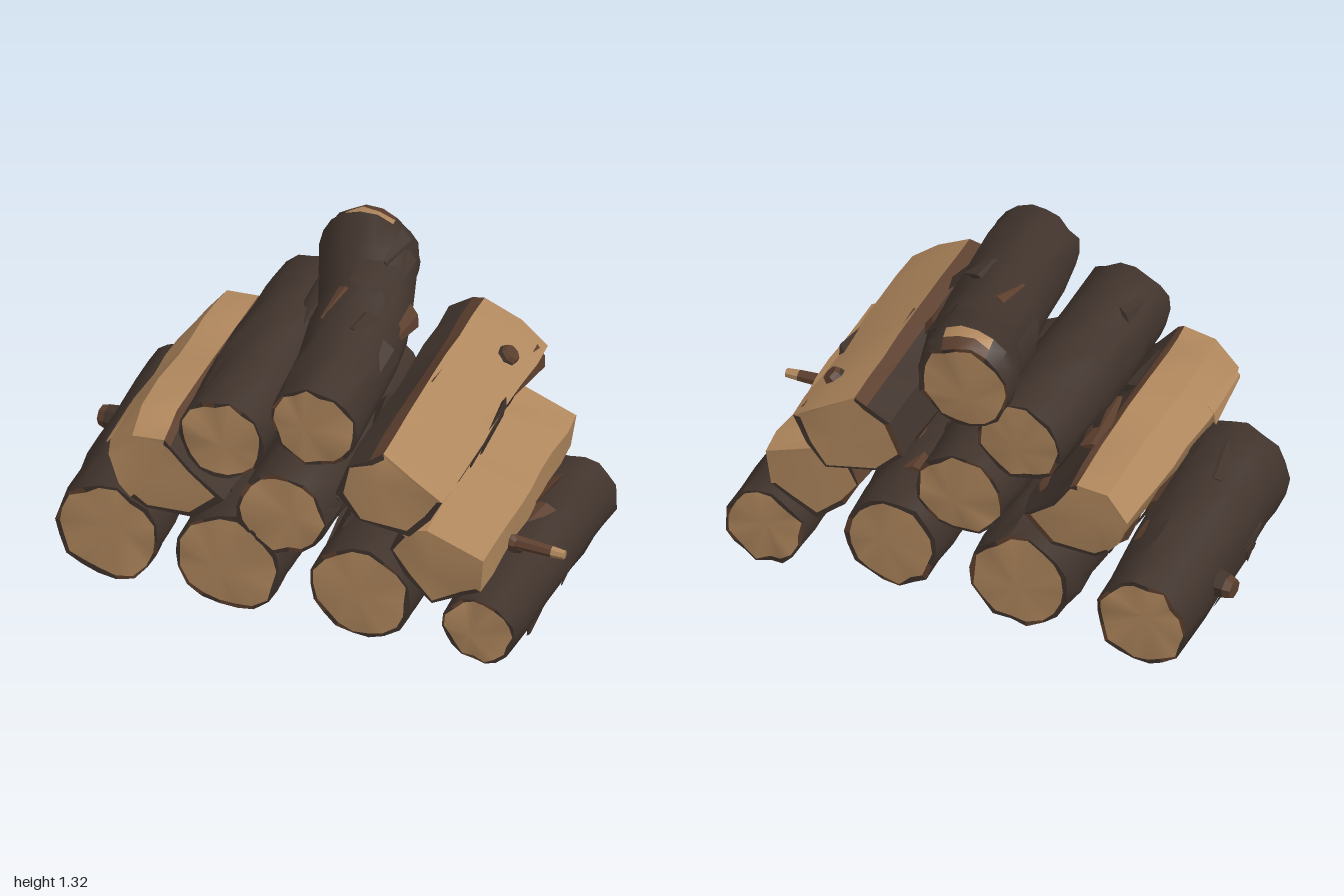
import * as THREE from 'three';
import { toCreasedNormals } from 'three/addons/utils/BufferGeometryUtils.js';

const material = (name, color) => {
  const m = new THREE.MeshStandardMaterial({ color, side: THREE.DoubleSide });
  m.name = name;
  return m;
};

export function createModel() {
  const model = new THREE.Group();
  model.name = 'firewoodPile';
  const mats = [material('bark', 0x40332c), material('cutWood', 0xb0875d), material('innerBark', 0x5c3f2e)];
  const [BARK, WOOD, INNER] = [0, 1, 2];

  let seed = 11;
  const rnd = () => (seed = (seed * 16807) % 2147483647) / 2147483647;
  const vary = (a) => (rnd() * 2 - 1) * a;

  // Position on a list of [x, y, scale, z] sections, t from 0 (front) to 1 (back)
  const along = (sections, t) => {
    const f = t * (sections.length - 1);
    const i = Math.min(Math.floor(f), sections.length - 2);
    return sections[i].map((v, k) => THREE.MathUtils.lerp(v, sections[i + 1][k], f - i));
  };

  // Skin a profile of [dx, dy, side material] along the sections and close both ends
  function loft(name, profile, sections, { rough, rim, crease }) {
    const n = profile.length, rows = 9;
    const tris = [[], [], []];
    const add = (m, ...pts) => pts.forEach((p) => tris[m].push(...p));
    const rings = [];
    for (let r = 0; r < rows; r++) {
      const t = r / (rows - 1);
      const [x, y, s, z] = along(sections, t);
      const end = r === 0 || r === rows - 1;
      rings.push(profile.map(([dx, dy]) => {
        const k = s * (1 + vary(rough) + (end ? 0 : rough * 0.5));
        return [x + dx * k, y + dy * k, z + (end ? vary(0.012) : 0)];
      }));
    }
    for (let r = 0; r < rows - 1; r++) {
      for (let i = 0; i < n; i++) {
        const j = (i + 1) % n, flag = profile[i][2];
        const m = typeof flag === 'function' ? flag(r / (rows - 1)) : flag;
        const a = rings[r][i], b = rings[r][j], c = rings[r + 1][j], d = rings[r + 1][i];
        add(m, a, d, b, b, d, c);
      }
    }
    // Sawn ends, slightly domed, with a ragged bark rim
    for (const front of [true, false]) {
      const ring = rings[front ? 0 : rows - 1];
      const mid = [0, 1, 2].map((k) => ring.reduce((s, p) => s + p[k], 0) / n);
      const inner = ring.map((p) => {
        const k = rim + vary((1 - rim) * 0.6);
        return p.map((v, q) => mid[q] + (v - mid[q]) * k);
      });
      const peak = [mid[0] + vary(0.05), mid[1] + vary(0.05), mid[2] + (front ? 0.012 : -0.015)];
      for (let i = 0; i < n; i++) {
        const j = (i + 1) % n;
        const face = (m, a, b, c) => (front ? add(m, a, b, c) : add(m, a, c, b));
        face(WOOD, peak, inner[i], inner[j]);
        const edge = profile[i][2] === WOOD ? WOOD : rnd() < 0.25 ? INNER : BARK;
        face(edge, inner[i], ring[i], ring[j]);
        face(edge, inner[i], ring[j], inner[j]);
      }
    }
    let geo = new THREE.BufferGeometry();
    geo.setAttribute('position', new THREE.Float32BufferAttribute(tris.flat(), 3));
    let start = 0;
    tris.forEach((list, m) => {
      if (list.length) geo.addGroup(start, list.length / 3, m);
      start += list.length / 3;
    });
    geo = toCreasedNormals(geo, crease);
    const mesh = new THREE.Mesh(geo, mats);
    mesh.name = name;
    model.add(mesh);
  }

  // Thin torn shard lying along the surface, angle measured from +x
  function flake(x, y, radius, angle, z, width, length, m, tilt) {
    const geo = new THREE.CylinderGeometry(width * 0.25, width, length, 4).toNonIndexed();
    geo.rotateX(Math.PI / 2).scale(1, 0.3, 1);
    geo.computeVertexNormals();
    const mesh = new THREE.Mesh(geo, mats[m]);
    mesh.name = 'barkFlake';
    mesh.position.y = radius;
    mesh.position.z = z;
    mesh.rotation.set(tilt, vary(0.3), vary(0.35));
    const pivot = new THREE.Group();
    pivot.name = 'barkFlakePivot';
    pivot.position.set(x, y, 0);
    pivot.rotation.z = angle - Math.PI / 2;
    pivot.add(mesh);
    model.add(pivot);
  }

  // Curved plate of loose bark with jagged ends, wrapped around part of a log
  function barkPlate([x, y, radius, z], angle, length, m) {
    const geo = new THREE.CylinderGeometry(radius * 1.03, radius * 1.06, length, 7, 1, true, angle, 0.7 + rnd() * 0.5);
    const p = geo.attributes.position;
    for (let i = 0; i < p.count; i++) p.setY(i, p.getY(i) * (0.55 + rnd() * 0.45));
    geo.rotateX(Math.PI / 2);
    geo.computeVertexNormals();
    const mesh = new THREE.Mesh(geo, mats[m]);
    mesh.name = 'barkPlate';
    mesh.position.set(x, y, z);
    model.add(mesh);
  }

  // Round logs, front to back
  const logs = {
    bottomLogOuterRight: [[-0.715, 0.275, 0.207, 0.47], [-0.735, 0.265, 0.198, 0], [-0.755, 0.257, 0.182, -0.545]],
    bottomLogInnerRight: [[-0.23, 0.265, 0.207, 0.49], [-0.23, 0.255, 0.21, 0], [-0.23, 0.25, 0.198, -0.48]],
    bottomLogInnerLeft: [[0.305, 0.268, 0.197, 0.505], [0.3, 0.262, 0.2, 0], [0.295, 0.262, 0.187, -0.465]],
    bottomLogOuterLeft: [[0.783, 0.228, 0.143, 0.525], [0.785, 0.207, 0.155, 0], [0.805, 0.195, 0.16, -0.485]],
    middleLog: [[-0.012, 0.55, 0.177, 0.505], [0.02, 0.555, 0.185, 0], [0.02, 0.57, 0.177, -0.465]],
    upperRightLog: [[-0.238, 0.86, 0.17, 0.535], [-0.235, 0.868, 0.174, 0], [-0.215, 0.878, 0.17, -0.45]],
    topLog: [[0.13, 1.015, 0.17, 0.54], [0.11, 1.025, 0.177, 0.2], [0.08, 1.04, 0.18, -0.12],
      [0, 1.13, 0.195, -0.41], [-0.01, 1.108, 0.182, -0.495]],
  };
  for (const [name, sections] of Object.entries(logs)) {
    // The raised back of the top log has a small bare chamfer
    const bare = (t) => (t < 0.75 ? BARK : t < 0.85 ? WOOD : INNER);
    const profile = Array.from({ length: 18 }, (_, i) => {
      const a = (i / 18) * Math.PI * 2, k = 1 + vary(0.025);
      return [Math.cos(a) * k, Math.sin(a) * k, name === 'topLog' && i > 2 && i < 6 ? bare : BARK];
    });
    loft(name, profile, sections, { rough: 0.035, rim: 0.92, crease: 0.7 });
    for (let i = 0; i < 8; i++) {
      const [x, y, r, z] = along(sections, 0.12 + rnd() * 0.55);
      flake(x, y, r, rnd() * Math.PI * 2, z, 0.03 + rnd() * 0.03, 0.12 + rnd() * 0.12, i % 4 ? BARK : INNER, vary(0.1));
    }
    for (let i = 0; i < 3; i++) {
      barkPlate(along(sections, 0.25 + rnd() * 0.35), i * 2.1 + vary(0.5), 0.25 + rnd() * 0.2, BARK);
    }
  }

  // Split logs: corners counter-clockwise, each with the material of the side that follows it
  const torn = (t) => (t < 0.25 ? WOOD : t < 0.75 ? BARK : INNER);
  const splits = [
    ['splitLogRight', [[-0.475, 0.635, 0.95, 0.54], [-0.49, 0.64, 1, 0.36], [-0.48, 0.635, 0.98, 0], [-0.475, 0.63, 0.95, -0.25],
      [-0.475, 0.615, 0.88, -0.48]], [
      [0.26, -0.05, BARK], [0.13, 0.06, BARK], [0.04, 0.16, INNER], [0.01, 0.175, WOOD], [-0.13, 0.165, WOOD],
      [-0.23, 0.05, WOOD], [-0.18, -0.07, WOOD], [-0.13, -0.13, INNER], [-0.07, -0.18, BARK], [0.13, -0.17, BARK]]],
    ['splitLogLowerLeft', [[0.6, 0.475, 1, 0.505], [0.6, 0.475, 1, -0.475]], [
      [0.18, -0.075, WOOD], [0.2, 0.07, WOOD], [-0.03, 0.155, WOOD], [-0.14, 0.13, INNER], [-0.18, 0.02, BARK],
      [-0.12, -0.08, BARK], [-0.01, -0.17, BARK], [0.11, -0.115, INNER]]],
    ['splitLogUpperLeft', [[0.415, 0.775, 1, 0.54], [0.425, 0.775, 1, -0.54]], [
      [0.235, 0.02, WOOD], [0.13, 0.1, WOOD], [-0.01, 0.185, INNER], [-0.06, 0.155, BARK], [-0.15, 0.1, BARK],
      [-0.2, -0.04, BARK], [-0.1, -0.14, BARK], [0.1, -0.165, torn], [0.18, -0.08, torn]]],
  ];
  for (const [name, sections, profile] of splits) {
    loft(name, profile, sections, { rough: 0.04, rim: 0.9, crease: 0.5 });
  }

  // Torn bark along the edges of the split logs: x, y, angle, z, length, material
  [
    [-0.24, 0.6, 0.2, 0.3, 0.3, BARK], [-0.26, 0.59, 0.1, -0.2, 0.35, INNER], [-0.42, 0.79, 1.3, -0.1, 0.3, INNER],
    [-0.42, 0.79, 1, 0.25, 0.24, BARK], [-0.29, 0.67, 0.8, 0.05, 0.4, BARK], [-0.63, 0.54, 3.8, -0.3, 0.3, INNER],
    [-0.64, 0.53, 4, 0, 0.34, INNER], [-0.66, 0.56, 3.7, 0.25, 0.28, BARK], [-0.71, 0.69, 2.8, 0.35, 0.25, WOOD],
    [0.65, 0.78, 0.2, -0.35, 0.28, INNER], [0.64, 0.77, -0.4, 0.05, 0.35, BARK], [0.62, 0.74, 0, 0.2, 0.22, BARK],
    [0.6, 0.67, -0.6, -0.1, 0.34, BARK], [0.4, 0.94, 1.8, -0.1, 0.3, INNER], [0.27, 0.86, 2.4, 0.2, 0.3, BARK],
    [0.24, 0.7, 3.4, -0.2, 0.3, BARK], [0.47, 0.59, 2.6, 0.3, 0.26, BARK], [0.48, 0.6, 2.2, -0.25, 0.3, INNER],
    [0.77, 0.39, -0.5, -0.1, 0.4, INNER], [0.72, 0.37, -0.9, 0.3, 0.3, BARK], [0.21, 0.58, 0.3, 0.1, 0.3, BARK],
    [0.2, 0.48, -0.3, 0.1, 0.35, BARK], [-0.44, 0.21, 3.3, 0.2, 0.25, BARK], [0.08, 0.26, 3.1, 0.15, 0.25, BARK],
  ].forEach(([x, y, a, z, len, m]) => flake(x, y, 0, a, z, 0.05, len, m, vary(0.12)));

  // Broken twigs and knots: bark stub with a paler snapped tip
  function twig(name, from, to, radius, body, tip) {
    const a = new THREE.Vector3(...from), b = new THREE.Vector3(...to);
    const len = a.distanceTo(b), g = new THREE.Group();
    g.name = name;
    [[radius, radius * 0.8, len * 0.75, len * 0.375, body], [radius * 0.8, radius * 0.65, len * 0.25, len * 0.875, tip]]
      .forEach(([r0, r1, h, y, m], i) => {
        const geo = toCreasedNormals(new THREE.CylinderGeometry(r1, r0, h, 7), 0.5);
        const mesh = new THREE.Mesh(geo, mats[m]);
        mesh.name = i ? 'snappedTip' : 'stub';
        mesh.position.y = y;
        g.add(mesh);
      });
    g.position.copy(a);
    g.quaternion.setFromUnitVectors(new THREE.Vector3(0, 1, 0), b.sub(a).normalize());
    model.add(g);
  }
  twig('sideTwig', [-0.88, 0.27, -0.21], [-0.997, 0.265, -0.225], 0.06, BARK, INNER);
  twig('bottomTwig', [-0.66, 0.075, 0.01], [-0.79, 0.03, -0.06], 0.04, WOOD, WOOD);
  twig('longTwig', [0.77, 0.33, 0.16], [0.83, 0.405, 0.17], 0.03, BARK, INNER);
  twig('longTwigEnd', [0.79, 0.405, 0.17], [0.997, 0.395, 0.175], 0.028, INNER, WOOD);
  twig('upperKnot', [0.55, 0.83, -0.33], [0.6, 0.88, -0.34], 0.052, BARK, INNER);
  twig('lowerKnot', [0.72, 0.44, 0.19], [0.805, 0.41, 0.19], 0.035, BARK, INNER);

  return model;
}
